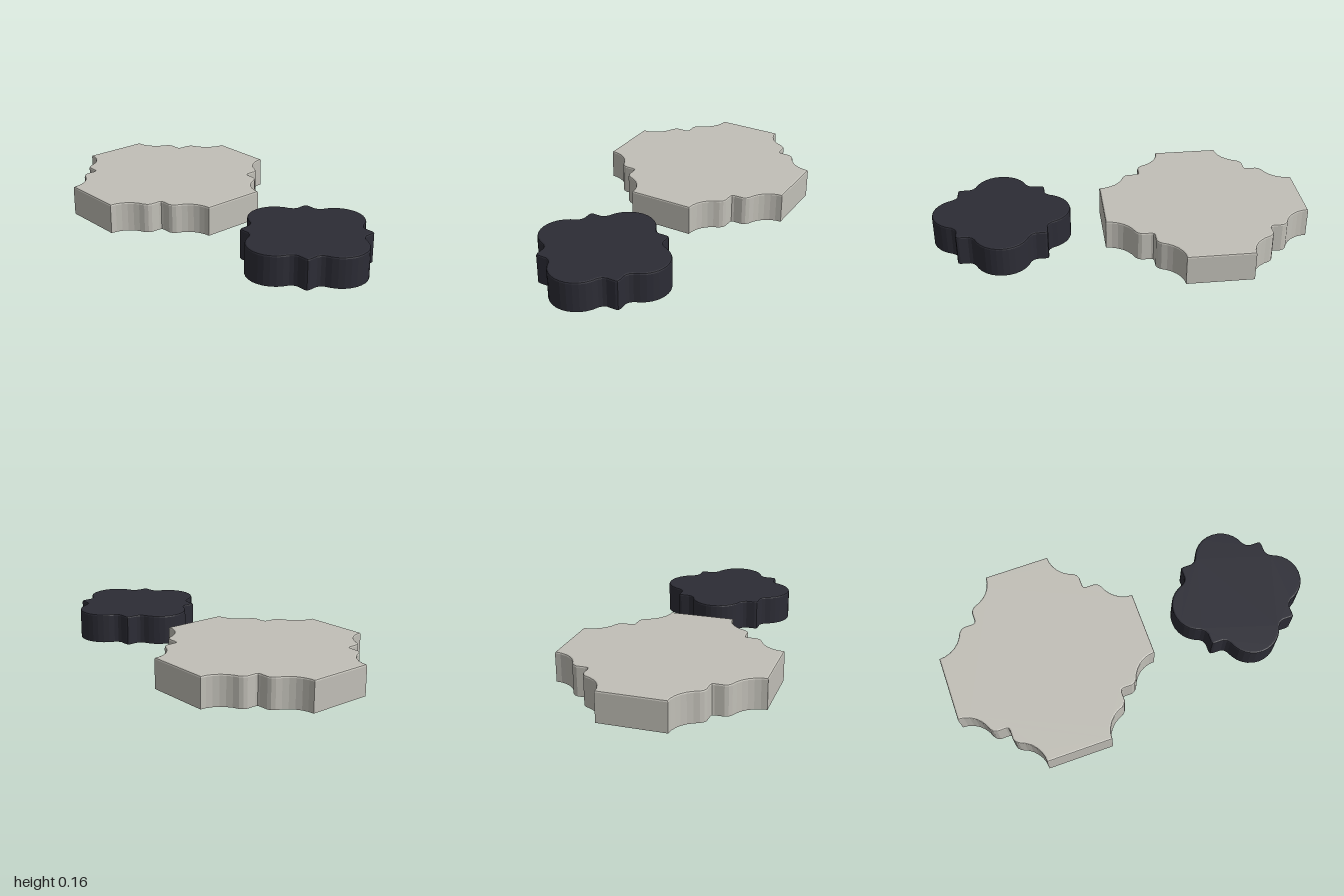
import * as THREE from 'three';

const HEIGHT = 0.163, BEVEL = 0.009;
const HALF = 0.545; // half the width of the large tile

// Quarter outline of the small tile, from (0.368, 0) round to (0, 0.368):
// half a round lobe, a hollow, a rounded square corner, then the mirror of it.
function quarterProfile() {
  const r = 0.147, c = 0.221, pts = [];
  for (let i = 0; i <= 5; i++) {
    const a = (i / 5) * 1.08;
    pts.push([c + r * Math.cos(a), r * Math.sin(a)]);
  }
  pts.push([0.262, 0.142], [0.246, 0.156], [0.238, 0.174], [0.238, 0.222]);
  const mirrored = pts.map(([x, y]) => [y, x]).reverse();
  return [...pts, [0.234, 0.234], ...mirrored];
}

// Turns a quarter outline by quarter turns into a closed shape
function fourfold(quarter) {
  const pts = [];
  for (let k = 0; k < 4; k++) {
    for (const [x, y] of quarter) {
      pts.push(new THREE.Vector2(x, y).rotateAround(new THREE.Vector2(), k * Math.PI / 2));
    }
  }
  return new THREE.Shape(pts);
}

// Upright slab with a softened top rim and a flat underside
function slab(name, shape, material, x) {
  const geo = new THREE.ExtrudeGeometry(shape, {
    depth: HEIGHT - BEVEL, bevelEnabled: true, bevelThickness: BEVEL,
    bevelSize: BEVEL, bevelOffset: -BEVEL, bevelSegments: 2,
  });
  const p = geo.attributes.position;
  for (let i = 0; i < p.count; i++) p.setZ(i, Math.max(0, p.getZ(i)));
  geo.rotateX(-Math.PI / 2);
  geo.computeVertexNormals();
  const mesh = new THREE.Mesh(geo, material);
  mesh.name = name;
  mesh.position.x = x;
  return mesh;
}

export function createModel() {
  const group = new THREE.Group();
  group.name = 'floorTiles';
  const stone = new THREE.MeshStandardMaterial({ color: 0xc1bfb7 });
  stone.name = 'paleStone';
  const slate = new THREE.MeshStandardMaterial({ color: 0x2c2c35 });
  slate.name = 'darkSlate';

  const quarter = quarterProfile();
  // The large tile's corners are cut by the small tile's outline
  const cutCorner = quarter.map(([x, y]) => [HALF - x, HALF - y]).reverse();

  group.add(slab('largeTile', fourfold(cutCorner), stone, HALF - 1 + 0.0));
  // Drop the last point of each quarter, as the next quarter starts there
  group.add(slab('smallTile', fourfold(quarter.slice(0, -1)), slate, 1 - 0.368));
  return group;
}
